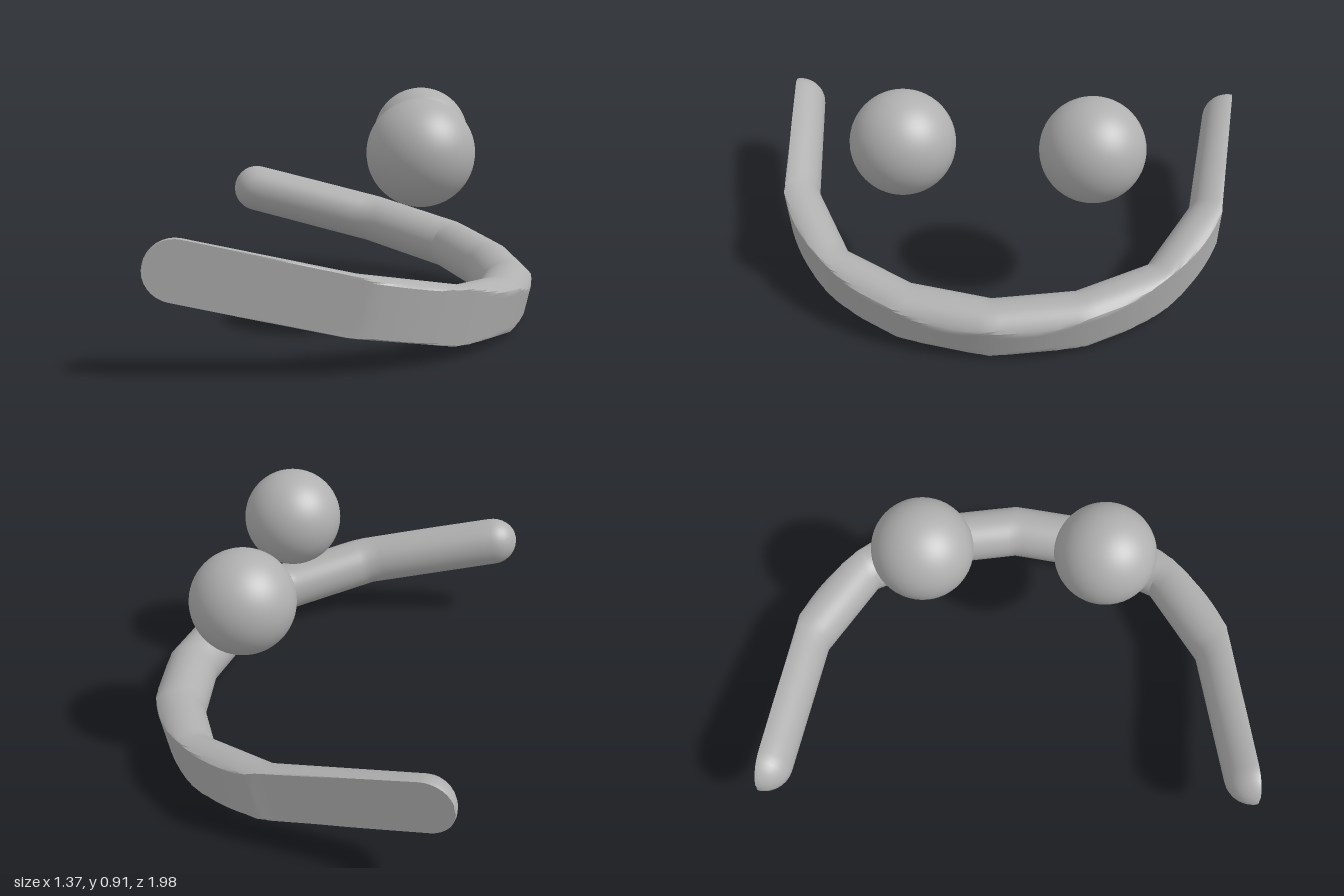
import * as THREE from 'three';
import { mergeVertices, toCreasedNormals } from 'three/addons/utils/BufferGeometryUtils.js';

const RADIUS = 0.11, SIDES = 48;

// Trims a point to the outer boundary: a round front with straight flanks
function trim(x, z) {
  const cx = -0.272, R = 0.958;
  const d = Math.hypot(x - cx, z);
  if (d > R && x > 0.04) return [cx + (x - cx) * R / d, z * R / d];
  const limit = 0.906 - 0.122 * x;
  return [x, Math.sign(z) * Math.min(Math.abs(z), limit)];
}

// Mitred round bar along a flat path, with domed ends and a trimmed outer side
function curvedBar() {
  const half = [[-0.595, 0.97], [0, 0.885], [0.375, 0.675], [0.545, 0.35]];
  const path = [...half, [0.605, 0], ...half.map(([x, z]) => [x, -z]).reverse()]
    .map(([x, z]) => new THREE.Vector2(x, z));
  const dirs = path.slice(1).map((p, i) => p.clone().sub(path[i]).normalize());
  const outward = (d) => new THREE.Vector2(-d.y, d.x);

  // Mitre direction at every joint
  const mitres = path.map((p, i) => {
    const a = outward(dirs[Math.max(i - 1, 0)]);
    const b = outward(dirs[Math.min(i, dirs.length - 1)]);
    const m = a.clone().add(b).normalize();
    return m.divideScalar(m.dot(a));
  });

  const stations = [];
  const dome = (end, sign, steps) => steps.forEach((t) => {
    const d = dirs[end ? dirs.length - 1 : 0];
    const i = end ? path.length - 1 : 0;
    stations.push({
      c: path[i].clone().addScaledVector(d, sign * RADIUS * Math.sin(t)),
      n: mitres[i], r: RADIUS * Math.max(Math.cos(t), 0.0005),
    });
  });
  const angles = [1, 2, 3, 4, 5, 6, 7, 8].map((k) => k * Math.PI / 16);
  dome(false, -1, [...angles].reverse());
  const STEPS = 10;
  for (let i = 0; i < dirs.length; i++) {
    for (let k = 0; k < STEPS; k++) {
      stations.push({
        c: path[i].clone().lerp(path[i + 1], k / STEPS),
        n: mitres[i].clone().lerp(mitres[i + 1], k / STEPS), r: RADIUS,
      });
    }
  }
  dome(true, 1, [0, ...angles]);

  const pos = [], index = [];
  stations.forEach(({ c, n, r }, i) => {
    for (let j = 0; j < SIDES; j++) {
      const a = j / SIDES * Math.PI * 2;
      const [x, z] = trim(c.x + n.x * r * Math.cos(a), c.y + n.y * r * Math.cos(a));
      pos.push(x, r * Math.sin(a), z);
      if (i === stations.length - 1) continue;
      const p = i * SIDES + j, q = i * SIDES + (j + 1) % SIDES;
      index.push(p, p + SIDES, q + SIDES, p, q + SIDES, q);
    }
  });
  const geo = new THREE.BufferGeometry();
  geo.setAttribute('position', new THREE.Float32BufferAttribute(pos, 3));
  geo.setIndex(index);
  return toCreasedNormals(mergeVertices(geo, 1e-5), 0.5);
}

export function createModel() {
  const model = new THREE.Group();
  model.name = 'smilingFace';
  const grey = new THREE.MeshStandardMaterial({ color: 0xb0b0b0 });
  grey.name = 'plain grey';

  // Mouth, tilted down towards its middle
  const mouth = new THREE.Mesh(curvedBar(), grey);
  mouth.name = 'mouth';
  mouth.rotation.z = -0.225;
  mouth.position.y = 0.245;
  model.add(mouth);

  // Pair of round eyes
  const ball = new THREE.SphereGeometry(0.203, 48, 32);
  for (const side of [1, -1]) {
    const eye = new THREE.Mesh(ball, grey);
    eye.name = side > 0 ? 'frontEye' : 'backEye';
    eye.position.set(0.228, 0.706, side * 0.362);
    model.add(eye);
  }
  return model;
}
